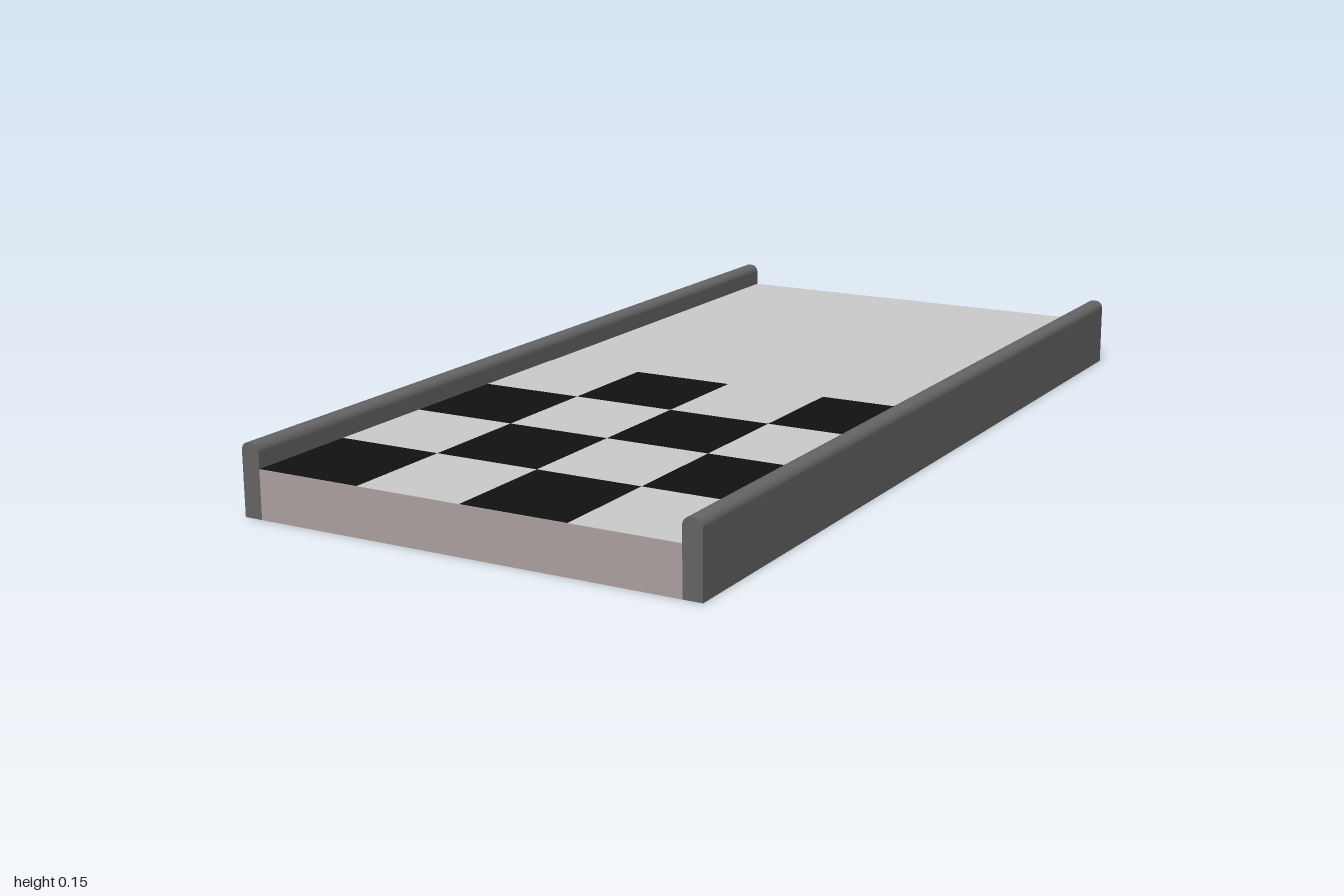
import * as THREE from 'three';

const WIDTH = 0.92, HEIGHT = 0.1, RAIL = 0.04, RAIL_TOP = 0.15;

const paint = (color) => new THREE.MeshStandardMaterial({ color });

function addMesh(parent, name, geometry, material, x, y, z) {
  const mesh = new THREE.Mesh(geometry, material);
  mesh.name = name;
  mesh.position.set(x, y, z);
  parent.add(mesh);
  return mesh;
}

// Upright rail section with rounded upper corners, run along z
function railGeometry() {
  const h = RAIL / 2, r = 0.017, shape = new THREE.Shape();
  shape.moveTo(-h, 0);
  shape.lineTo(h, 0);
  shape.lineTo(h, RAIL_TOP - r);
  shape.absarc(h - r, RAIL_TOP - r, r, 0, Math.PI / 2, false);
  shape.absarc(-h + r, RAIL_TOP - r, r, Math.PI / 2, Math.PI, false);
  shape.closePath();
  return new THREE.ExtrudeGeometry(shape, { depth: 2, bevelEnabled: false, curveSegments: 6 });
}

export function createModel() {
  const model = new THREE.Group();
  model.name = 'trackSection';

  // Road slab: plain rear half, tinted front half
  const half = new THREE.BoxGeometry(WIDTH, HEIGHT, 1);
  addMesh(model, 'rearRoad', half, paint(0xcccccc), 0, HEIGHT / 2, -0.5);
  addMesh(model, 'frontRoad', half, paint(0xaca0a0), 0, HEIGHT / 2, 0.5);

  // Side rails
  const rail = railGeometry(), railPaint = paint(0x656565);
  for (const [name, side] of [['leftRail', 1], ['rightRail', -1]]) {
    addMesh(model, name, rail, railPaint, side * (WIDTH + RAIL) / 2, 0, -1);
  }

  // Chequered tiles, four by four, lying on the front half
  const board = new THREE.Group();
  board.name = 'chequeredTiles';
  model.add(board);
  const w = WIDTH / 4, d = 0.25;
  const tile = new THREE.PlaneGeometry(w, d).rotateX(-Math.PI / 2);
  const light = paint(0xdddddd), dark = paint(0x111111);
  for (let row = 0; row < 4; row++) {
    for (let col = 0; col < 4; col++) {
      const odd = (row + col) % 2 === 1;
      addMesh(board, odd ? 'darkTile' : 'lightTile', tile, odd ? dark : light,
        -WIDTH / 2 + (col + 0.5) * w, HEIGHT + 0.001, (row + 0.5) * d);
    }
  }
  return model;
}
